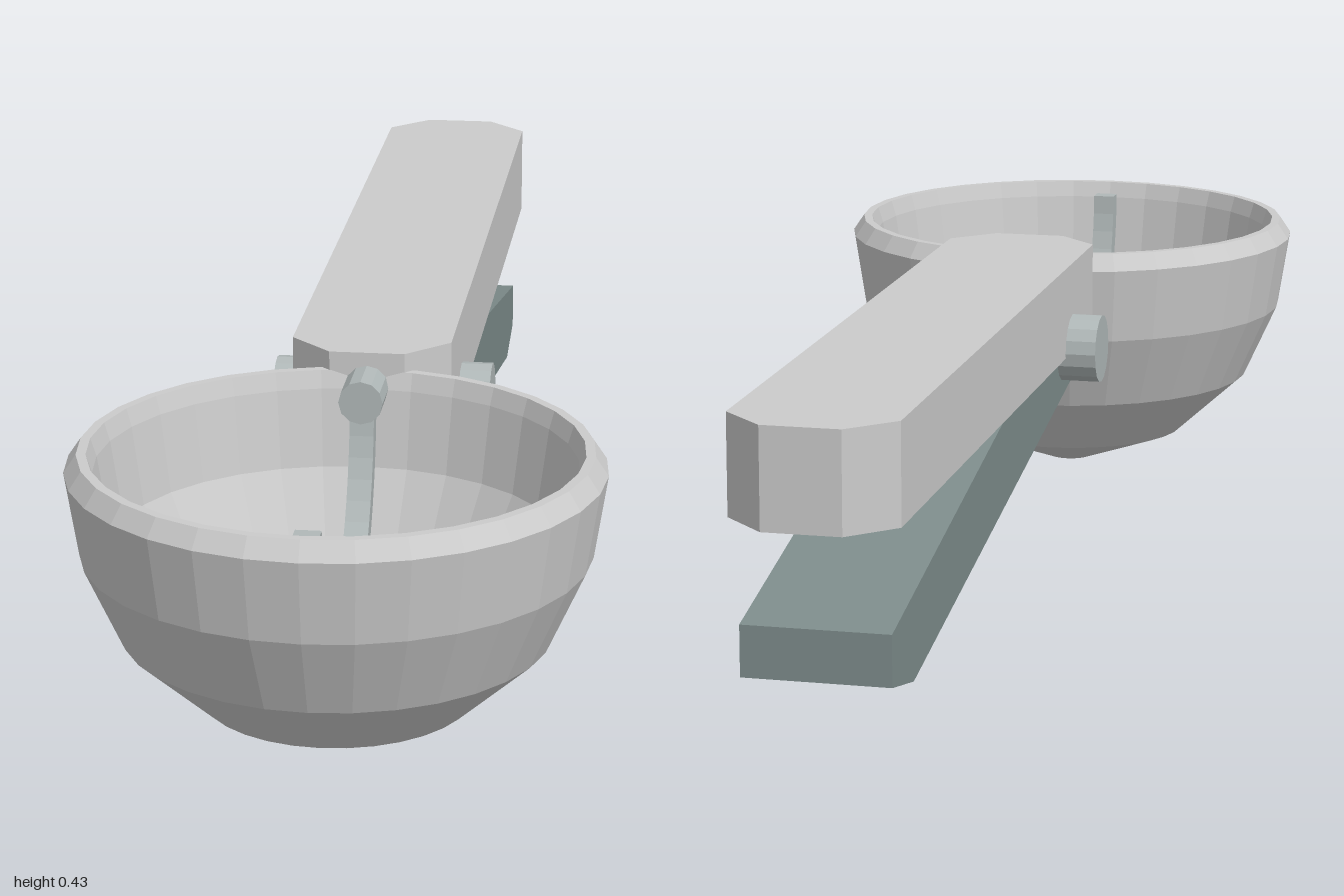
import * as THREE from 'three';

const material = (color, side = THREE.FrontSide) =>
  new THREE.MeshStandardMaterial({ color, flatShading: true, side });
const polygon = pts => new THREE.Shape(pts.map(p => new THREE.Vector2(...p)));

// Extrudes a (z, y) side outline across x, centred on x = 0
function sideExtrude(shape, width, curveSegments = 12) {
  const g = new THREE.ExtrudeGeometry(shape, { depth: width, bevelEnabled: false, curveSegments });
  return g.translate(0, 0, -width / 2).rotateY(-Math.PI / 2);
}

export function createModel() {
  const group = new THREE.Group();
  const steel = material(0xcccccc);
  const pinMetal = material(0xb0b8b8);
  const leverPaint = material(0x7d8c8b);
  const bowlZ = 0.64;

  const add = (name, geometry, mat) => {
    const mesh = new THREE.Mesh(geometry, mat);
    mesh.name = name;
    group.add(mesh);
    return mesh;
  };

  // Scoop bowl: outer wall up, over the rim, inner wall down
  const profile = [
    [0, 0], [0.035, 0], [0.185, 0.055], [0.29, 0.15], [0.342, 0.265], [0.36, 0.38],
    [0.343, 0.405], [0.33, 0.405], [0.322, 0.38], [0.305, 0.27], [0.25, 0.16], [0.142, 0.07], [0, 0.04],
  ].map(p => new THREE.Vector2(...p));
  add('bowl', new THREE.LatheGeometry(profile, 32), material(0xcccccc, THREE.DoubleSide))
    .position.z = bowlZ;

  // Handle: long bar with chamfered corners, outlined in (x, z)
  const handleOutline = polygon([
    [-0.053, -1], [0.053, -1], [0.113, -0.94], [0.113, 0.255],
    [0.053, 0.315], [-0.053, 0.315], [-0.113, 0.255], [-0.113, -0.94],
  ]);
  const handle = new THREE.ExtrudeGeometry(handleOutline, { depth: 0.137, bevelEnabled: false });
  add('handle', handle.rotateX(Math.PI / 2).translate(0, 0.432, 0), steel);

  // Squeeze lever slanting down below the handle
  const leverOutline = polygon([
    [0.16, 0.24], [0.16, 0.33], [-0.07, 0.33], [-0.94, 0.155], [-0.94, 0.085], [-0.83, 0.06],
  ]);
  add('lever', sideExtrude(leverOutline, 0.2), leverPaint);

  // Pivot pin through the handle
  const pivot = new THREE.CylinderGeometry(0.051, 0.051, 0.316, 16).rotateZ(Math.PI / 2);
  add('pivotPin', pivot, pinMetal).position.set(0, 0.302, 0.105);

  // Short axle holding the sweeper at the bowl's back rim
  const axle = new THREE.CylinderGeometry(0.031, 0.031, 0.12, 12).rotateX(Math.PI / 2);
  add('sweeperAxle', axle, pinMetal).position.set(0, 0.382, 0.328);

  // Sweeper: thin half ring following the inside of the bowl
  const arc = new THREE.Shape();
  arc.absarc(bowlZ, 0.39, 0.298, Math.PI, Math.PI * 2, false);
  arc.absarc(bowlZ, 0.39, 0.27, Math.PI * 2, Math.PI, true);
  add('sweeper', sideExtrude(arc, 0.034, 14), pinMetal);

  return group;
}
